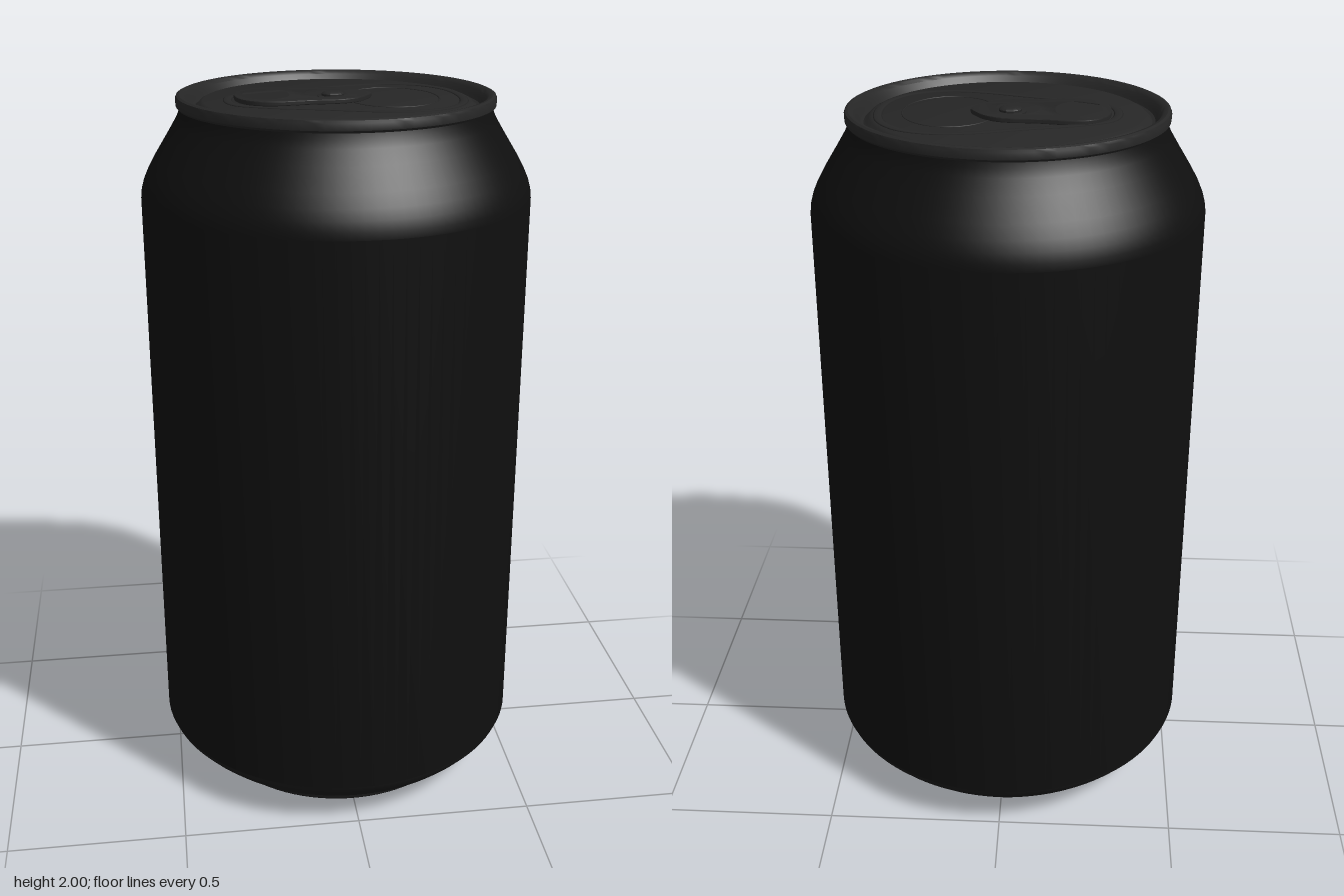
import * as THREE from 'three';
import { toCreasedNormals } from 'three/addons/utils/BufferGeometryUtils.js';

const PANEL_Y = 1.982;
const TAB_Z = -0.012;

const material = (color) => new THREE.MeshStandardMaterial({ color });
const v2 = (pairs) => pairs.map(([x, y]) => new THREE.Vector2(x, y));

// Mirrors half an outline (from left end to right end) across the x axis.
function mirrored(half) {
  const back = half.filter(([, y]) => y > 0).map(([x, y]) => [x, -y]).reverse();
  return [...half, ...back];
}

// Smooth closed outline through a few points.
function smoothOutline(pairs, divisions = 64) {
  const curve = new THREE.CatmullRomCurve3(
    pairs.map(([x, y]) => new THREE.Vector3(x, y, 0)), true);
  return curve.getPoints(divisions).slice(0, -1).map((p) => new THREE.Vector2(p.x, p.y));
}

export function createModel() {
  const model = new THREE.Group();
  model.name = 'drinkCan';
  const bodyMat = material(0x0f0f0f);
  const baseMat = material(0x1a1a1a);
  const lidMat = material(0x262626);

  function add(name, geometry, mat, parent = model) {
    const mesh = new THREE.Mesh(geometry, mat);
    mesh.name = name;
    parent.add(mesh);
    return mesh;
  }
  const lathe = (pairs) =>
    toCreasedNormals(new THREE.LatheGeometry(v2(pairs), 96), 0.6);

  // Domed underside, standing ring and lower chamfer
  const dome = [];
  for (let i = 0; i <= 12; i++) {
    const r = 0.37 * i / 12;
    dome.push([r, 0.075 - 0.065 * (r / 0.37) ** 2]);
  }
  add('base', lathe([
    ...dome, [0.378, 0.003], [0.385, 0], [0.394, 0], [0.4, 0.006], [0.404, 0.032],
    [0.425, 0.04], [0.45, 0.054], [0.475, 0.073], [0.5, 0.097], [0.522, 0.122], [0.53, 0.14],
  ]), baseMat);

  // Straight wall and tapered shoulder
  add('body', lathe([
    [0.53, 0.14], [0.53, 1.73], [0.528, 1.75], [0.521, 1.775], [0.509, 1.802],
    [0.49, 1.836], [0.455, 1.892], [0.432, 1.93], [0.422, 1.95], [0.417, 1.97],
  ]), bodyMat);

  // Rolled rim, countersunk groove and flat panel
  const lid = new THREE.Group();
  lid.name = 'lid';
  model.add(lid);
  add('rimAndPanel', lathe([
    [0.415, 1.966], [0.422, 1.966], [0.427, 1.972], [0.428, 1.99], [0.425, 1.997],
    [0.418, 2], [0.408, 1.998], [0.4, 1.99], [0.392, 1.976], [0.386, 1.967],
    [0.378, 1.965], [0.371, 1.969], [0.364, 1.978], [0.355, PANEL_Y], [0, PANEL_Y],
  ]), lidMat, lid);

  // Fine closed ridge following an outline on the panel
  function ridge(name, pairs, width, height, z) {
    const path = new THREE.CatmullRomCurve3(
      pairs.map(([x, y]) => new THREE.Vector3(x, 0, -y)), true);
    const geometry = new THREE.TubeGeometry(path, 96, width, 8, true);
    geometry.scale(1, height / width, 1);
    add(name, geometry, lidMat, lid).position.set(0, PANEL_Y, z);
  }
  ridge('panelBead', mirrored([
    [-0.29, 0], [-0.27, 0.08], [-0.2, 0.125], [-0.05, 0.175], [0.08, 0.22],
    [0.17, 0.23], [0.26, 0.2], [0.32, 0.12], [0.34, 0],
  ]), 0.012, 0.003, 0);
  ridge('mouthScore', mirrored([
    [0.03, 0], [0.045, 0.09], [0.09, 0.145], [0.15, 0.165], [0.21, 0.145],
    [0.26, 0.085], [0.277, 0],
  ]), 0.002, 0.002, 0);

  // Pull tab with a finger hole and a rivet window
  const tab = new THREE.Group();
  tab.name = 'pullTab';
  tab.position.set(0, PANEL_Y + 0.003, TAB_Z);
  lid.add(tab);

  function slab(name, outline, holes, depth, bevel) {
    const shape = new THREE.Shape(outline);
    holes.forEach((h) => shape.holes.push(new THREE.Path(h)));
    const geometry = new THREE.ExtrudeGeometry(shape, {
      depth, bevelEnabled: true, bevelThickness: bevel, bevelSize: bevel,
      bevelOffset: -bevel, bevelSegments: 2,
    });
    geometry.rotateX(-Math.PI / 2);
    return add(name, toCreasedNormals(geometry, 0.7), lidMat, tab);
  }
  const tabOutline = smoothOutline(mirrored([
    [-0.272, 0], [-0.258, 0.07], [-0.22, 0.11], [-0.165, 0.12], [-0.08, 0.107],
    [0.01, 0.1], [0.055, 0.075], [0.083, 0.035], [0.097, 0],
  ]), 80);
  const fingerHole = smoothOutline(mirrored([
    [-0.252, 0], [-0.24, 0.06], [-0.2, 0.09], [-0.15, 0.075], [-0.125, 0.035], [-0.122, 0],
  ]), 48);
  const rivetWindow = smoothOutline(mirrored([
    [-0.087, 0], [-0.072, 0.04], [-0.035, 0.064], [0.005, 0.058], [0.03, 0.038], [0.032, 0],
  ]), 48);
  slab('tabPlate', tabOutline, [fingerHole, rivetWindow], 0.007, 0.003);

  // Tongue joining the rivet to the nose of the tab
  slab('tabTongue', smoothOutline(mirrored([
    [-0.049, 0], [-0.036, 0.031], [-0.007, 0.042], [0.025, 0.03], [0.045, 0.022], [0.05, 0],
  ]), 40), [], 0.003, 0.001);

  // Rivet
  const rivet = add('rivet', lathe([
    [0.03, 0], [0.03, 0.009], [0.027, 0.012], [0.02, 0.014], [0, 0.014],
  ]), lidMat, tab);
  rivet.position.x = -0.007;

  return model;
}
